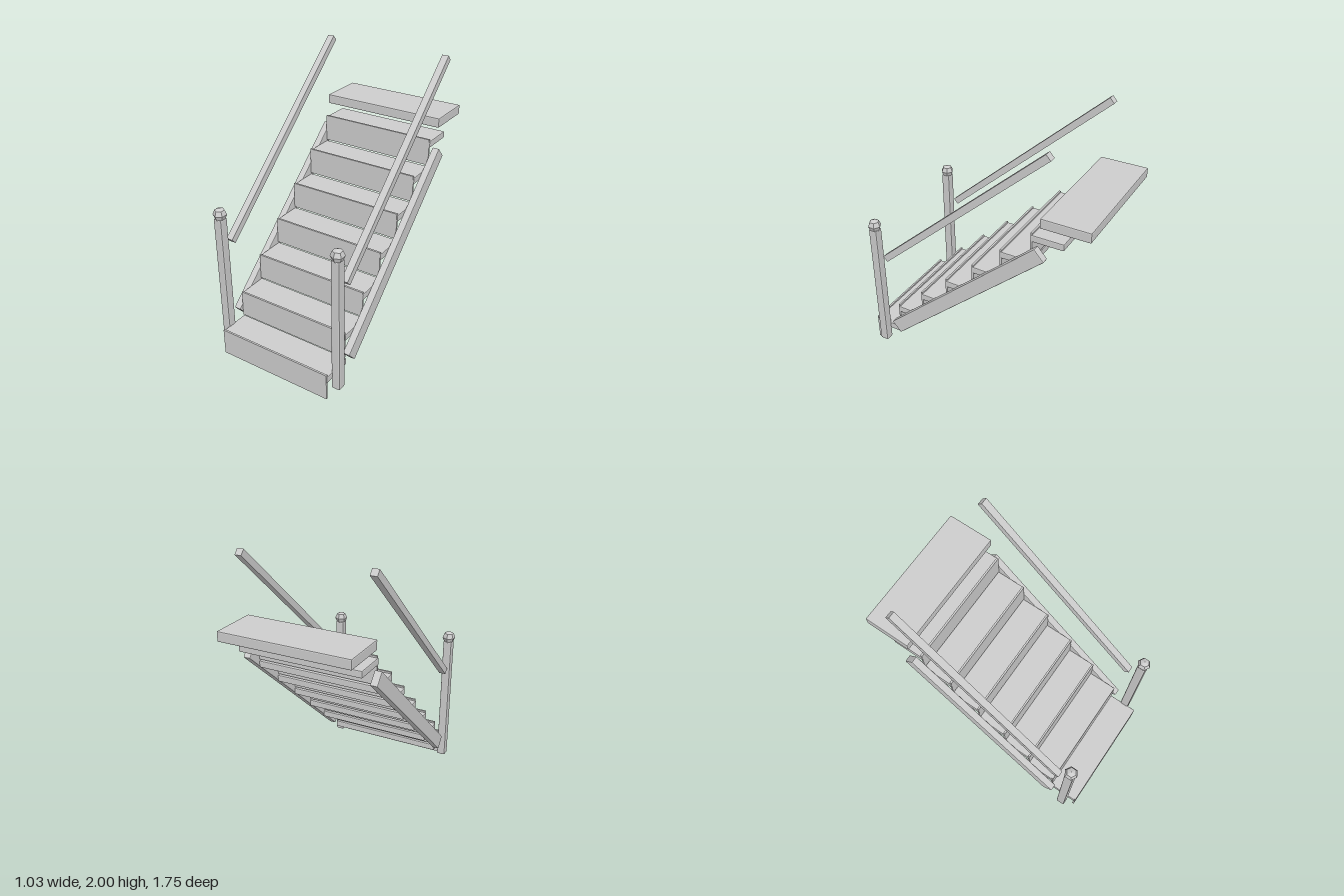
import * as THREE from 'three';
import { RoundedBoxGeometry } from 'three/addons/geometries/RoundedBoxGeometry.js';

const STEPS = 7;
const RISE = 0.201;
const RUN = 0.2215;
const SLOPE = 0.731;

export function createModel() {
  const model = new THREE.Group();
  model.name = 'staircase';

  const grey = new THREE.MeshStandardMaterial({ color: 0xcccccc });
  grey.name = 'plain grey';

  function add(name, geometry, x, y, z, tilt = 0) {
    const mesh = new THREE.Mesh(geometry, grey);
    mesh.name = name;
    mesh.position.set(x, y, z);
    mesh.rotation.x = tilt;
    model.add(mesh);
    return mesh;
  }

  // Box with flat chamfered edges
  function chamferBox(w, h, d, bevel) {
    const geometry = new RoundedBoxGeometry(w, h, d, 1, bevel);
    geometry.computeVertexNormals();
    return geometry;
  }

  // Steps: a chamfered tread behind the top of each thin riser
  const tread = chamferBox(0.9, 0.05, 0.234, 0.007);
  const riser = new THREE.BoxGeometry(0.888, 0.2, 0.014);
  for (let i = 0; i < STEPS; i++) {
    add('tread', tread, 0, 0.163 + i * RISE, 0.756 - i * RUN);
    add('riser', riser, 0, 0.1 + i * RISE, 0.868 - i * RUN);
  }

  // Upper landing
  add('landing', chamferBox(0.95, 0.072, 0.345, 0.008), 0, 1.513, -0.7025);

  // Mirrored side parts
  const stringer = chamferBox(0.054, 0.106, 1.602, 0.007);
  const rail = new THREE.BoxGeometry(0.05, 0.049, 1.712);
  const post = chamferBox(0.066, 1.01, 0.066, 0.01);
  const knob = new THREE.SphereGeometry(0.049, 6, 4).toNonIndexed();
  knob.computeVertexNormals();
  for (const side of [-1, 1]) {
    const x = side * 0.474;
    add('stringer', stringer, x, 0.757, 0.052, SLOPE);
    add('handrail', rail, x, 1.413, 0.053, SLOPE);
    add('newelPost', post, x, 0.558, 0.778);
    add('postKnob', knob, x, 1.091, 0.778).rotation.y = Math.PI / 2;
  }

  return model;
}
